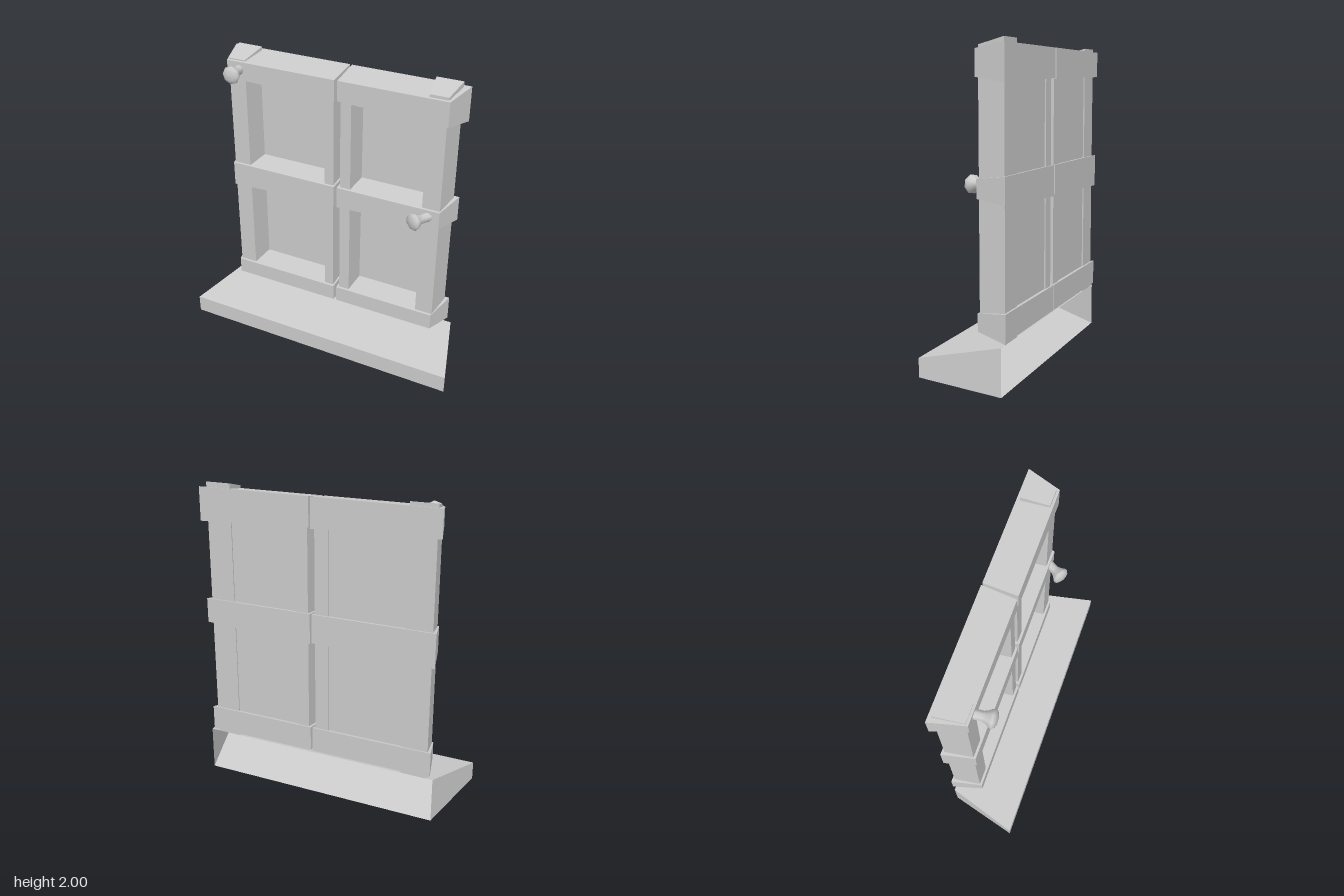
import * as THREE from 'three';

const grey = new THREE.MeshStandardMaterial({ color: 0xcccccc, flatShading: true });
const open = new THREE.MeshStandardMaterial({ color: 0xcccccc, flatShading: true, side: THREE.DoubleSide });
const smooth = new THREE.MeshStandardMaterial({ color: 0xcccccc });

// Tapered block between a back and a front quad, each listed as
// [x0, x1, bottom at x0, bottom at x1, top]
function block(name, back, zBack, front, zFront, openBack = false) {
  const quad = ([x0, x1, b0, b1, t], z) => [[x0, b0, z], [x1, b1, z], [x1, t, z], [x0, t, z]];
  const corners = [...quad(back, zBack), ...quad(front, zFront)];
  const faces = [[4, 5, 6, 7], [0, 4, 7, 3], [5, 1, 2, 6], [7, 6, 2, 3], [0, 1, 5, 4]];
  if (!openBack) faces.push([1, 0, 3, 2]);
  const positions = [];
  for (const [a, b, c, d] of faces)
    for (const i of [a, b, c, a, c, d]) positions.push(...corners[i]);
  const geometry = new THREE.BufferGeometry();
  geometry.setAttribute('position', new THREE.Float32BufferAttribute(positions, 3));
  geometry.computeVertexNormals();
  const mesh = new THREE.Mesh(geometry, openBack ? open : grey);
  mesh.name = name;
  return mesh;
}

// Upright post of a shutter
const stile = (name, [b0, b1], [f0, f1], low, high, top = 0.04) =>
  block(name, [b0, b1, low, low, high], -0.215, [f0, f1, low + 0.045, low + 0.045, high - top], -0.045);

// Flared knob pointing from its base along a direction
function knob(name, base, direction) {
  const profile = [[0.034, -0.02], [0.03, 0.02], [0.03, 0.05], [0.038, 0.072], [0.054, 0.095],
    [0.058, 0.108], [0.05, 0.12], [0.028, 0.13], [0, 0.132]].map(([r, y]) => new THREE.Vector2(r, y));
  const mesh = new THREE.Mesh(new THREE.LatheGeometry(profile, 8), smooth);
  mesh.name = name;
  mesh.position.set(...base);
  mesh.quaternion.setFromUnitVectors(new THREE.Vector3(0, 1, 0), new THREE.Vector3(...direction).normalize());
  return mesh;
}

function panel(x0, x1) {
  const mesh = new THREE.Mesh(new THREE.BoxGeometry(x1 - x0, 1.5, 0.012), grey);
  mesh.position.set((x0 + x1) / 2, 1.14, -0.2);
  mesh.name = 'panel';
  return mesh;
}

export function createModel() {
  const model = new THREE.Group();
  model.name = 'shutteredWindow';

  // Sill, hollow towards the wall
  model.add(block('sill', [-0.8, 0.8, 0, 0, 0.29], -0.215, [-0.93, 0.93, 0.1, 0.1, 0.215], 0.237, true));

  // Shutter on the -x side
  const right = new THREE.Group();
  right.name = 'rightShutter';
  right.add(
    stile('outerStile', [-0.76, -0.59], [-0.73, -0.615], 0.29, 1.99),
    stile('innerStile', [-0.09, 0.0], [-0.062, 0.0], 0.33, 1.95),
    panel(-0.62, -0.06),
    block('topRail', [-0.795, 0.015, 1.8, 1.78, 1.97], -0.237, [-0.735, 0.01, 1.825, 1.805, 1.94], -0.03),
    block('middleRail', [-0.785, 0.015, 1.03, 1.06, 1.247], -0.232, [-0.735, 0.01, 1.06, 1.087, 1.222], -0.03),
    block('bottomRail', [-0.785, 0.015, 0.31, 0.31, 0.475], -0.23, [-0.735, 0.01, 0.34, 0.34, 0.447], -0.03),
    knob('upperKnob', [-0.65, 1.89, -0.035], [0.08, 0, 1]),
  );

  // Shutter on the +x side
  const left = new THREE.Group();
  left.name = 'leftShutter';
  left.add(
    stile('outerStile', [0.575, 0.743], [0.602, 0.717], 0.29, 2.0),
    stile('innerStile', [0.047, 0.13], [0.047, 0.118], 0.33, 1.95),
    panel(0.1, 0.6),
    block('topRail', [0.028, 0.785, 1.785, 1.755, 1.97], -0.235, [0.032, 0.73, 1.81, 1.785, 1.94], -0.03),
    block('middleRail', [0.028, 0.773, 1.05, 1.085, 1.247], -0.23, [0.032, 0.72, 1.08, 1.108, 1.222], -0.03),
    block('bottomRail', [0.028, 0.77, 0.31, 0.31, 0.475], -0.23, [0.032, 0.715, 0.34, 0.34, 0.447], -0.03),
    knob('middleKnob', [0.642, 1.175, -0.035], [-0.5, 0, 0.87]),
  );

  model.add(right, left);
  return model;
}
